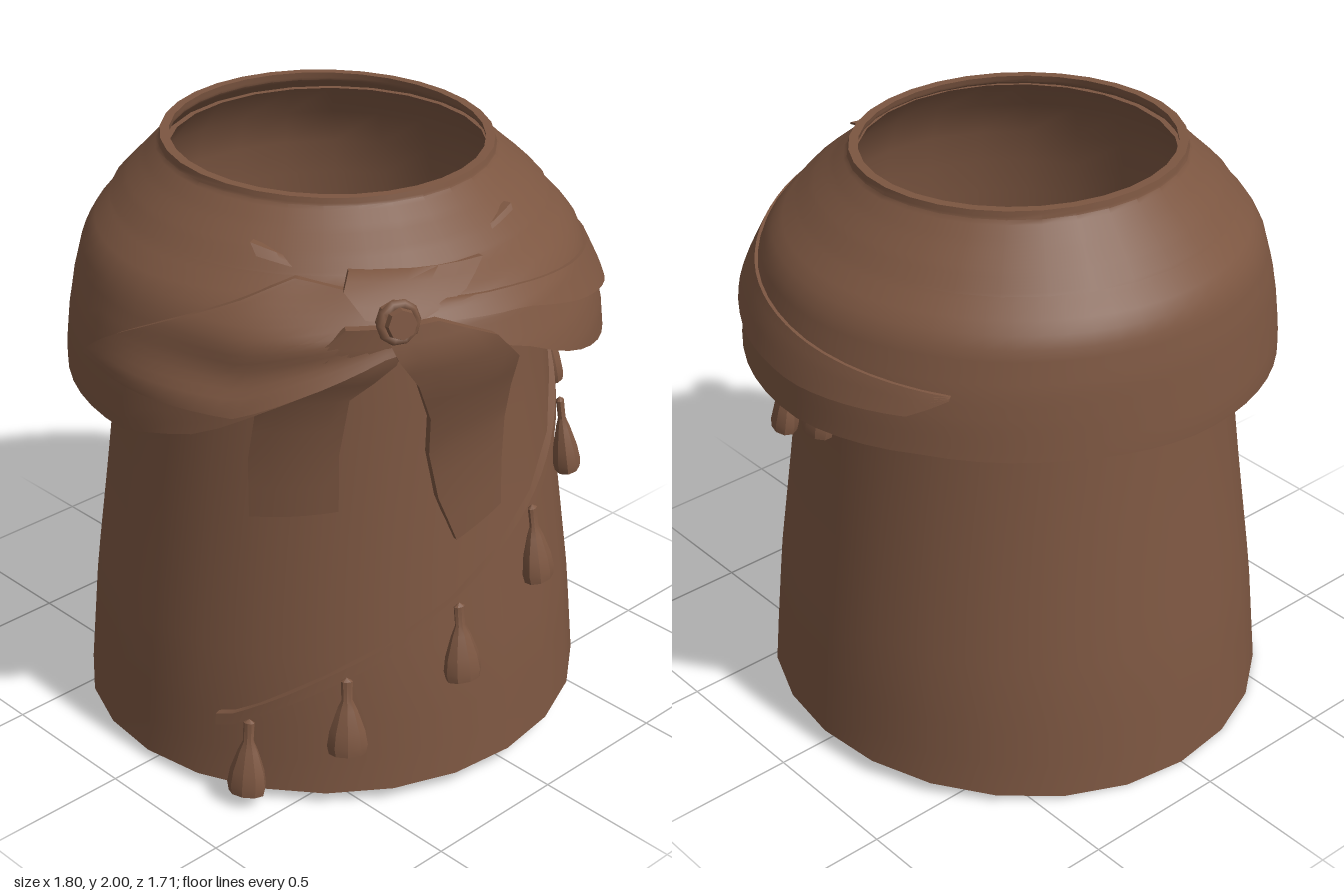
import * as THREE from 'three';
import { mergeGeometries, toCreasedNormals } from 'three/addons/utils/BufferGeometryUtils.js';

const RAD = Math.PI / 180;
const lerp = THREE.MathUtils.lerp;

// piecewise-linear lookup through [key, value] pairs
function look(pts, k) {
  if (k <= pts[0][0]) return pts[0][1];
  for (let i = 1; i < pts.length; i++) {
    const [k0, v0] = pts[i - 1], [k1, v1] = pts[i];
    if (k <= k1) return lerp(v0, v1, (k - k0) / (k1 - k0));
  }
  return pts[pts.length - 1][1];
}

// point around the garment: angle 0 is the front, +90 degrees is +x
function around(a, y, r) {
  const zc = look([[1.5, -0.02], [2, -0.04]], y);
  return new THREE.Vector3(r * Math.sin(a), y, zc + r * Math.cos(a));
}

function patch(fn, nu, nv) {
  const pos = [], idx = [];
  for (let j = 0; j <= nv; j++)
    for (let i = 0; i <= nu; i++) pos.push(...fn(i / nu, j / nv).toArray());
  for (let j = 0; j < nv; j++)
    for (let i = 0; i < nu; i++) {
      const p = j * (nu + 1) + i, q = p + nu + 1;
      idx.push(p, p + 1, q + 1, p, q + 1, q);
    }
  const g = new THREE.BufferGeometry();
  g.setAttribute('position', new THREE.Float32BufferAttribute(pos, 3));
  g.setIndex(idx);
  return g;
}

// thick cloth: f(u, v) gives [angle, y, outer radius]; u runs to +x, v runs up
function cloth(f, nu, nv, th, closed = false) {
  const p = (u, v, d) => {
    const [a, y, r] = f(u, v);
    return around(a, y, r - d);
  };
  const parts = [
    patch((u, v) => p(u, v, 0), nu, nv),
    patch((u, v) => p(1 - u, v, th), nu, nv),
    patch((u, v) => p(u, 0, th * (1 - v)), nu, 1),
    patch((u, v) => p(u, 1, th * v), nu, 1),
  ];
  if (!closed) {
    parts.push(patch((u, v) => p(0, v, th * (1 - u)), 1, nv));
    parts.push(patch((u, v) => p(1, v, th * u), 1, nv));
  }
  return toCreasedNormals(mergeGeometries(parts), 0.6);
}

// strip whose rows, bottom to top, are [xLeft, yLeft, xRight, yRight, radius]
function strip(rows, th) {
  const n = rows.length - 1;
  return cloth((u, v) => {
    const row = [0, 1, 2, 3, 4].map((c) => look(rows.map((r, i) => [i / n, r[c]]), v));
    const [xl, yl, xr, yr, r] = row;
    return [Math.asin(lerp(xl, xr, u) / r), lerp(yl, yr, u), r];
  }, 5, n * 2, th);
}

const bodyR = [[0, 0.845], [0.4, 0.81], [0.8, 0.758], [1.05, 0.728], [1.3, 0.703], [1.6, 0.68], [1.76, 0.655], [1.85, 0.615], [1.94, 0.526]];
const shawlProfile = [[1.25, 0.885], [1.31, 0.885], [1.45, 0.87], [1.53, 0.85], [1.6, 0.825], [1.67, 0.8], [1.73, 0.755], [1.77, 0.7], [1.8, 0.66]];
const shawlHem = [[-180, 1.28], [-140, 1.26], [-90, 1.25], [-70, 1.33], [-55, 1.45], [-31, 1.62], [-12, 1.6],
  [0, 1.54], [10, 1.47], [21, 1.41], [32, 1.37], [44, 1.34], [65, 1.315], [90, 1.31], [120, 1.33], [150, 1.315], [180, 1.28]];

// shawl radius, flatter at the back and fuller below the knot
function shawlR(d, y) {
  const c = Math.cos(d * RAD), low = look([[1.45, 1], [1.78, 0]], y);
  const back = 0.045 * low * Math.max(0, -c) ** 1.5;
  const front = 0.03 * look([[1.72, 1], [1.8, 0]], y) * Math.max(0, Math.cos((d + 20) * RAD)) ** 6;
  return look(shawlProfile, y) - back + front;
}

export function createModel() {
  const model = new THREE.Group();
  const brown = new THREE.MeshStandardMaterial({ color: 0x7c5641 });
  brown.name = 'brown cloth';
  const add = (name, geometry, parent = model) => {
    const m = new THREE.Mesh(geometry, brown);
    m.name = name;
    parent.add(m);
    return m;
  };

  // robe with an uneven hem, closing in under the neck
  add('robe', cloth((u, v) => {
    const a = lerp(-Math.PI, Math.PI, u);
    const hem = 0.035 + 0.028 * Math.cos(a) + 0.018 * Math.sin(a) - 0.01 * Math.cos(2 * a);
    const y = lerp(Math.max(hem, 0), 1.94, v);
    return [a, y, look(bodyR, y)];
  }, 24, 16, 0.02, true));

  // sloping neck with a short upright rim
  const neck = [[0, 1.8, 0.7], [0.3, 1.85, 0.65], [0.6, 1.905, 0.59], [0.85, 1.96, 0.535], [1, 1.985, 0.53]];
  add('neck', cloth((u, v) => {
    const a = lerp(-Math.PI, Math.PI, u);
    const y = look(neck.map((k) => [k[0], k[1]]), v);
    return [a, y - 0.015 * v * Math.cos(a), look(neck.map((k) => [k[0], k[2]]), v)];
  }, 32, 20, 0.03, true));

  // shawl draped round the shoulders
  add('shawl', cloth((u, v) => {
    const d = lerp(-180, 180, u);
    const y = lerp(look(shawlHem, d), 1.81, v);
    return [d * RAD, y, shawlR(d, y)];
  }, 60, 14, 0.03, true));

  // raised fold sweeping from the knot round the +x side
  const foldLow = [[-28, 1.7], [0, 1.665], [20, 1.58], [45, 1.495], [70, 1.45], [90, 1.44], [118, 1.46], [126, 1.525]];
  const foldTop = [[-28, 1.745], [0, 1.715], [30, 1.66], [60, 1.605], [90, 1.57], [126, 1.53]];
  add('shawlFold', cloth((u, v) => {
    const d = lerp(-28, 126, u);
    const y = lerp(look(foldLow, d), look(foldTop, d), v);
    return [d * RAD, y, shawlR(d, y) + lerp(0.024, 0.01, v)];
  }, 36, 5, 0.03));

  // overlapping flap on the -x side, gathered at the knot
  const flapLow = [[-104, 1.43], [-85, 1.415], [-62, 1.42], [-50, 1.5], [-31, 1.62]];
  add('shawlFlap', cloth((u, v) => {
    const d = lerp(lerp(-104, -52, v * v * 0.6 + v * 0.4), -29, u);
    const y = lerp(look(flapLow, d), lerp(1.79, 1.75, u), v);
    const ripple = 0.014 * Math.sin(v * 11 + u * 3) * Math.sin(u * Math.PI);
    return [d * RAD, y, shawlR(d, y) + 0.024 + ripple];
  }, 18, 14, 0.03));

  // pleats pulled from the knot towards the neck
  const pleats = [
    [[-0.5, 1.72, -0.36, 1.7, 0.84], [-0.5, 1.78, -0.16, 1.74, 0.77], [-0.44, 1.815, -0.03, 1.79, 0.7]],
    [[-0.04, 1.815, 0.17, 1.86, 0.658], [-0.03, 1.825, 0.18, 1.875, 0.645]],
    [[-0.6, 1.84, -0.5, 1.8, 0.68], [-0.59, 1.87, -0.49, 1.815, 0.655]],
  ];
  pleats.forEach((rows, i) => add('pleat' + (i + 1), strip(rows, 0.025)));

  // two hanging ribbon ends
  add('shortRibbon', strip([
    [-0.7, 1.02, -0.53, 1.06, 0.79], [-0.7, 1.22, -0.53, 1.25, 0.79], [-0.7, 1.42, -0.52, 1.45, 0.81],
    [-0.67, 1.57, -0.44, 1.58, 0.86], [-0.56, 1.7, -0.4, 1.7, 0.86],
  ], 0.03));
  add('longRibbon', strip([
    [-0.17, 0.88, 0.01, 0.95, 0.762], [-0.24, 1.05, 0.0, 1.1, 0.765], [-0.285, 1.22, -0.01, 1.27, 0.78],
    [-0.31, 1.36, -0.025, 1.4, 0.815], [-0.38, 1.5, -0.04, 1.52, 0.86], [-0.45, 1.6, -0.15, 1.63, 0.885],
    [-0.48, 1.7, -0.33, 1.71, 0.87],
  ], 0.03));

  // round clasp over the knot
  const clasp = new THREE.Group();
  clasp.name = 'clasp';
  clasp.position.copy(around(-30.5 * RAD, 1.725, 0.875));
  clasp.rotation.set(-0.15, -0.4, 0, 'YXZ');
  model.add(clasp);
  const disc = new THREE.CylinderGeometry(0.045, 0.06, 0.07, 8).rotateX(Math.PI / 2);
  add('claspDisc', toCreasedNormals(disc, 0.4), clasp);
  add('claspRim', new THREE.TorusGeometry(0.054, 0.017, 6, 10), clasp);

  // cord spiralling up the robe
  const cord = [[-68, 0.27], [-44, 0.46], [-15, 0.66], [12, 0.865], [40, 1.085], [67, 1.265], [88, 1.38]];
  add('cord', cloth((u, v) => {
    const d = lerp(-70, 92, u);
    const y = look(cord, d) + 0.04 * (v - 0.5);
    return [d * RAD, y, look(bodyR, y) + 0.018];
  }, 40, 1, 0.024));

  // tassels, slightly flattened against the robe: [x, bottom y]
  const profile = [[0, 0], [0.06, 0], [0.066, 0.03], [0.058, 0.08], [0.034, 0.15], [0.018, 0.185], [0.019, 0.25], [0, 0.262]];
  const tassel = toCreasedNormals(new THREE.LatheGeometry(profile.map((p) => new THREE.Vector2(...p)), 9).scale(1, 1, 0.7), 0.4);
  [[-0.775, 0.045], [-0.56, 0.22], [-0.205, 0.42], [0.16, 0.63], [0.49, 0.84], [0.675, 1.02], [0.75, 1.165]].forEach(([x, y], i) => {
    const r = look(bodyR, y) + 0.038;
    const a = Math.asin(Math.min(x / r, 1));
    const t = add('tassel' + (i + 1), tassel);
    t.position.copy(around(a, y, r));
    t.rotation.set(-0.14, a, 0, 'YXZ');
  });

  return model;
}
